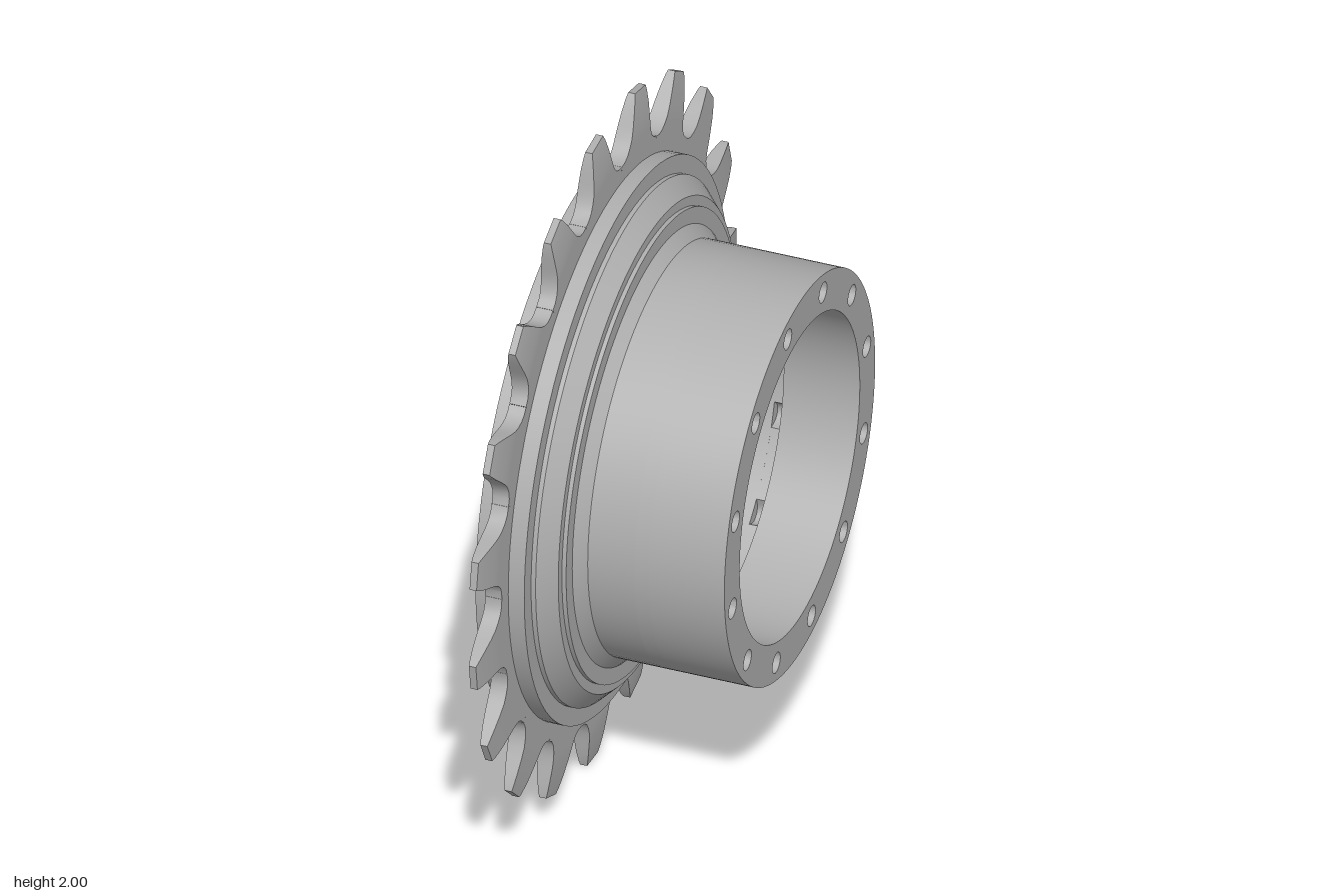
import * as THREE from 'three';
import { toCreasedNormals } from 'three/addons/utils/BufferGeometryUtils.js';

const TEETH = 19, BOLTS = 12, BOLT_R = 0.522, HOLE_R = 0.03;
const HUB_R = 0.577, BORE_R = 0.46, WIDE_R = 0.515;
const V = (r, x) => new THREE.Vector2(r, x);

// angles are clockwise from the top, seen from the +x end
const boltAngle = i => THREE.MathUtils.degToRad(-10 + 30 * i);

// ring-shaped plate extruded along +x from x0 to x1
function plate(shape, x0, x1) {
  const g = new THREE.ExtrudeGeometry(shape, { depth: x1 - x0, bevelEnabled: false, curveSegments: 96 });
  g.translate(0, 0, x0);
  g.rotateY(Math.PI / 2);
  return toCreasedNormals(g, 0.5);
}

function disc(r) {
  return new THREE.Shape().absarc(0, 0, r, 0, Math.PI * 2, false);
}

// stepped drum, shoulders and hub wall, as one closed turned profile
function bodyGeometry() {
  const fillet = new THREE.CubicBezierCurve(V(WIDE_R, 0.02), V(WIDE_R, -0.05), V(0.53, -0.1), V(0.56, -0.13)).getPoints(10);
  const profile = [
    V(0.66, -0.318), V(0.785, -0.318), V(0.785, -0.178), V(0.733, -0.178), V(0.733, -0.165),
    V(0.685, -0.118), V(0.657, -0.118), V(0.657, -0.106), V(0.61, -0.106), V(HUB_R, -0.074),
    V(HUB_R, 0.06), V(WIDE_R, 0.06), ...fillet,
    V(0.56, -0.145), V(0.6, -0.145), V(0.6, -0.17), V(0.62, -0.17), V(0.62, -0.21),
    V(0.66, -0.21), V(0.66, -0.318),
  ];
  const g = new THREE.LatheGeometry(profile, 96);
  g.rotateZ(-Math.PI / 2);
  return toCreasedNormals(g, 0.35);
}

// end flange with the ring of bolt holes
function flangeGeometry() {
  const s = disc(HUB_R);
  s.holes.push(new THREE.Path().absarc(0, 0, BORE_R, 0, Math.PI * 2, true));
  for (let i = 0; i < BOLTS; i++) {
    const a = boltAngle(i);
    const pts = [];
    for (let k = 0; k < 20; k++) {
      const t = -k / 20 * Math.PI * 2;
      pts.push(V(BOLT_R * Math.sin(a) + HOLE_R * Math.cos(t), BOLT_R * Math.cos(a) + HOLE_R * Math.sin(t)));
    }
    s.holes.push(new THREE.Path(pts));
  }
  return plate(s, 0.1, 0.318);
}

// short bore section where the bolt holes run out into the wall
function runoutGeometry() {
  const s = disc(HUB_R), pts = [], n = 360;
  for (let k = 0; k < n; k++) {
    const a = k / n * Math.PI * 2;
    let r = WIDE_R;
    for (let i = 0; i < BOLTS; i++) {
      const d = a - boltAngle(i), h = HOLE_R ** 2 - (BOLT_R * Math.sin(d)) ** 2;
      if (Math.cos(d) > 0 && h > 0) r = Math.max(r, BOLT_R * Math.cos(d) + Math.sqrt(h));
    }
    pts.push(V(r * Math.sin(a), r * Math.cos(a)));
  }
  s.holes.push(new THREE.Path(pts));
  return plate(s, 0.06, 0.1);
}

// one tooth lofted outward: [radius, half width, half thickness]
function toothGeometry() {
  const stations = [
    [0.77, 0.129, 0.024], [0.823, 0.137, 0.024], [0.828, 0.115, 0.024], [0.84, 0.097, 0.024],
    [0.86, 0.083, 0.024], [0.88, 0.074, 0.024], [0.91, 0.066, 0.022], [0.95, 0.057, 0.018],
    [0.985, 0.047, 0.013], [1.0, 0.041, 0.01],
  ];
  const pos = [], idx = [];
  for (const [y, w, t] of stations) pos.push(t, y, w, t, y, -w, -t, y, -w, -t, y, w);
  for (let j = 0; j < stations.length - 1; j++) {
    for (let k = 0; k < 4; k++) {
      const a = j * 4 + k, b = j * 4 + (k + 1) % 4;
      idx.push(a, b, b + 4, a, b + 4, a + 4);
    }
  }
  const e = (stations.length - 1) * 4;
  idx.push(e, e + 1, e + 2, e, e + 2, e + 3);
  const g = new THREE.BufferGeometry();
  g.setAttribute('position', new THREE.Float32BufferAttribute(pos, 3));
  g.setIndex(idx);
  return toCreasedNormals(g, 0.6);
}

export function createModel() {
  const steel = new THREE.MeshStandardMaterial({ color: 0xb0b0b0 });
  steel.name = 'grey steel';
  const model = new THREE.Group();
  model.name = 'sprocket';
  const wheel = new THREE.Group();
  wheel.name = 'wheel';
  wheel.position.y = 1;
  model.add(wheel);

  const add = (name, geometry, parent = wheel) => {
    const m = new THREE.Mesh(geometry, steel);
    m.name = name;
    parent.add(m);
    return m;
  };
  add('steppedBody', bodyGeometry());
  add('boltFlange', flangeGeometry());
  add('boltHoleRunout', runoutGeometry());

  // toothed ring around the drum
  const ring = new THREE.Group();
  ring.name = 'toothedRing';
  ring.position.x = -0.248;
  wheel.add(ring);
  const tooth = toothGeometry();
  for (let i = 0; i < TEETH; i++) {
    const m = add('tooth', tooth, ring);
    m.rotation.x = -THREE.MathUtils.degToRad(-3.6 + i * 360 / TEETH);
  }
  return model;
}
